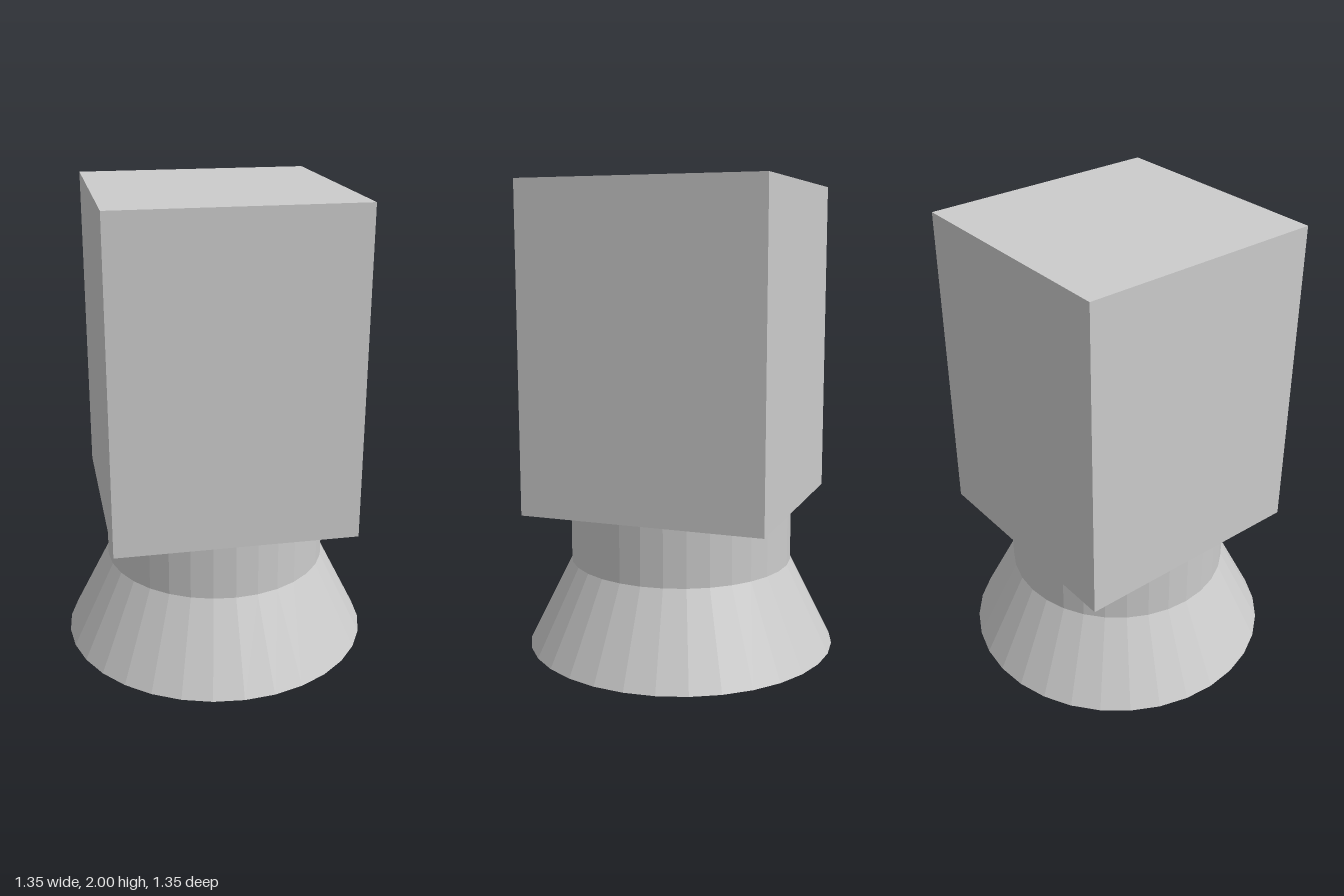
import * as THREE from 'three';

const SIDES = 32;

export function createModel() {
  const model = new THREE.Group();
  const material = new THREE.MeshStandardMaterial({ color: 0xcccccc, flatShading: true });

  // Adds a part resting at height y0 and reaching y1
  function addPart(name, geometry, y0, y1) {
    const mesh = new THREE.Mesh(geometry, material);
    mesh.name = name;
    mesh.position.y = (y0 + y1) / 2;
    model.add(mesh);
  }

  const flareTop = 0.375;
  const neckTop = 0.63;
  const top = 2;

  // Flared foot
  addPart('flaredBase', new THREE.CylinderGeometry(0.485, 0.673, flareTop, SIDES), 0, flareTop);

  // Straight round neck
  addPart('neck', new THREE.CylinderGeometry(0.485, 0.485, neckTop - flareTop, SIDES), flareTop, neckTop);

  // Tall block, slightly deeper than wide
  addPart('block', new THREE.BoxGeometry(1.014, top - neckTop, 1.044), neckTop, top);

  return model;
}
